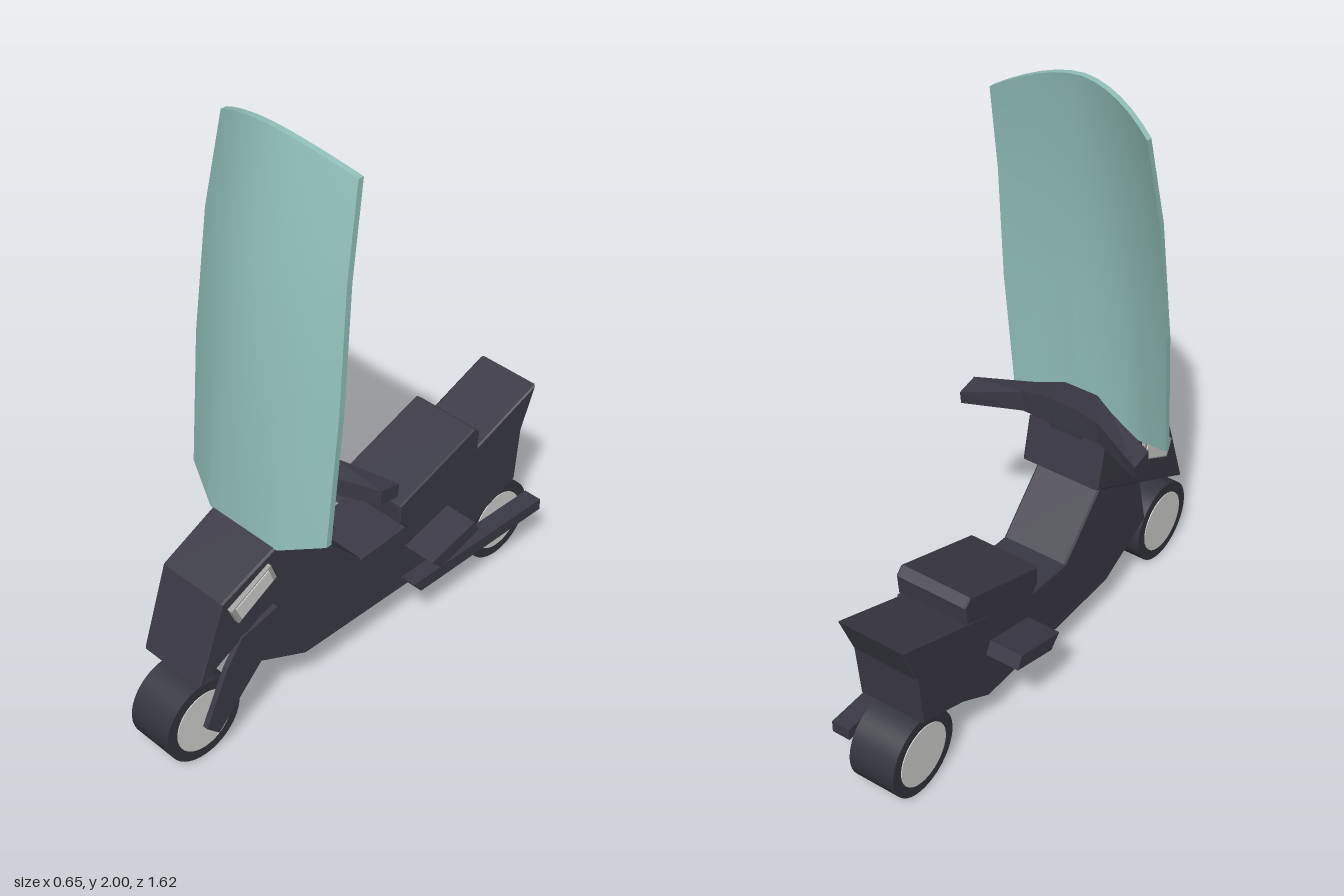
import * as THREE from 'three';

const paint = (name, color) => {
  const m = new THREE.MeshStandardMaterial({ color });
  m.name = name;
  return m;
};

// Side profile given as [z, y] points, extruded across x from x0 to x1
function slab(points, x0, x1, bevel = 0) {
  const shape = new THREE.Shape(points.map(([z, y]) => new THREE.Vector2(z, y)));
  const geo = new THREE.ExtrudeGeometry(shape, {
    depth: x1 - x0 - 2 * bevel, bevelEnabled: bevel > 0, bevelSize: bevel,
    bevelThickness: bevel, bevelOffset: -bevel, bevelSegments: 1,
  });
  return geo.rotateY(-Math.PI / 2).translate(x1 - bevel, 0, 0);
}

// Quads (a, b, c, d) with their own corners, so edges stay sharp
function quadGeometry(quads) {
  const pos = [];
  for (const [a, b, c, d] of quads) for (const p of [a, b, c, a, c, d]) pos.push(...p);
  const geo = new THREE.BufferGeometry();
  geo.setAttribute('position', new THREE.Float32BufferAttribute(pos, 3));
  geo.computeVertexNormals();
  return geo;
}

// Curved sheet: grid of points as an indexed, smooth surface
function sheet(grid, flip) {
  const cols = grid[0].length, index = [];
  for (let r = 0; r < grid.length - 1; r++) {
    for (let c = 0; c < cols - 1; c++) {
      const a = r * cols + c, b = a + 1, d = a + cols, e = d + 1;
      index.push(...(flip ? [a, e, b, a, d, e] : [a, b, e, a, e, d]));
    }
  }
  const geo = new THREE.BufferGeometry();
  geo.setAttribute('position', new THREE.Float32BufferAttribute(grid.flat(2), 3));
  geo.setIndex(index);
  geo.computeVertexNormals();
  return geo;
}

export function createModel() {
  const model = new THREE.Group();
  const bodyMat = paint('charcoal', 0x3b3a45);
  const tyreMat = paint('tyre black', 0x34353e);
  const rimMat = paint('light grey', 0xd2d2d0);
  const frameMat = paint('mid grey', 0xa0a09e);
  const glassMat = paint('teal glass', 0x92c0ba);

  const add = (name, geo, mat, parent = model) => {
    const mesh = new THREE.Mesh(geo, mat);
    mesh.name = name;
    parent.add(mesh);
    return mesh;
  };

  // Main body, footwell and tail
  add('body', slab([
    [0.5, 0.29], [0.27, 0.178], [-0.377, 0.178], [-0.5, 0.25], [-0.7, 0.325], [-0.72, 0.52],
    [-0.78, 0.67], [-0.17, 0.435], [0.03, 0.42], [0.22, 0.61], [0.3, 0.67], [0.45, 0.52],
  ], -0.118, 0.118, 0.006), bodyMat);

  // Front fairing, narrowing towards the nose
  const fairing = slab([[0.71, 0.335], [0.165, 0.64], [0.2, 0.795], [0.615, 0.61]].reverse(),
    -0.142, 0.142, 0.006);
  const fp = fairing.attributes.position;
  for (let i = 0; i < fp.count; i++) {
    const t = Math.max(0, (fp.getZ(i) - 0.4) / 0.31);
    fp.setX(i, fp.getX(i) * (1 - 0.13 * t));
  }
  fairing.computeVertexNormals();
  add('frontFairing', fairing, bodyMat);

  // Seat
  add('seat', slab([
    [-0.133, 0.537], [-0.472, 0.66], [-0.499, 0.635], [-0.493, 0.565], [-0.17, 0.43], [-0.133, 0.47],
  ], -0.128, 0.128, 0.005), bodyMat);

  // Foot rests crossing the body
  add('footRests', slab([[-0.17, 0.35], [-0.366, 0.403], [-0.387, 0.36], [-0.212, 0.308]],
    -0.235, 0.237), bodyMat);

  // Exhaust, one side only
  add('exhaust', slab([[-0.155, 0.228], [-0.773, 0.224], [-0.773, 0.182], [-0.19, 0.182]],
    0.11, 0.175), bodyMat);

  // Single-sided front fork
  add('frontFork', slab([
    [0.547, 0.44], [0.403, 0.472], [0.403, 0.37], [0.653, 0.122], [0.7, 0.17], [0.61, 0.355],
  ], 0.118, 0.137), bodyMat);

  // Wheels with light discs
  for (const [name, z] of [['frontWheel', 0.665], ['rearWheel', -0.663]]) {
    const wheel = new THREE.Group();
    wheel.name = name;
    wheel.position.set(0, 0.145, z);
    wheel.rotation.z = Math.PI / 2;
    add('tyre', new THREE.CylinderGeometry(0.145, 0.145, 0.166, 40), tyreMat, wheel);
    add('rim', new THREE.CylinderGeometry(0.108, 0.108, 0.172, 40), rimMat, wheel);
    model.add(wheel);
  }

  // Headlights: grey frame with a lighter lens on both flanks
  const lamp = [[0.594, 0.58], [0.435, 0.663], [0.414, 0.605], [0.568, 0.52]];
  const centre = [0.503, 0.592];
  const lens = lamp.map((p) => p.map((v, i) => centre[i] + (v - centre[i]) * 0.83));
  add('headlightFrame', slab(lamp, -0.148, 0.148), frameMat);
  add('headlightLens', slab(lens, -0.151, 0.151), rimMat);

  // Steering stem
  add('steeringStem', slab([[0.3, 0.73], [0.2, 0.76], [0.19, 0.85], [0.27, 0.85]], -0.06, 0.06), bodyMat);

  // Handlebar: four-cornered sections swept from tip to tip
  const half = [
    [0.325, [[0.085, 0.87], [0.16, 0.885], [0.16, 0.835], [0.09, 0.825]]],
    [0.14, [[0.162, 0.905], [0.24, 0.895], [0.24, 0.825], [0.165, 0.83]]],
    [0.06, [[0.162, 0.923], [0.28, 0.905], [0.287, 0.81], [0.165, 0.83]]],
  ];
  const sections = [...half.map(([x, s]) => [-x, s]), ...[...half].reverse()]
    .map(([x, s]) => s.map(([z, y]) => [x, y, z]));
  const barQuads = [];
  for (let i = 0; i < sections.length - 1; i++) {
    const a = sections[i], b = sections[i + 1];
    for (let k = 0; k < 4; k++) {
      const n = (k + 1) % 4;
      barQuads.push([a[k], a[n], b[n], b[k]]);
    }
  }
  barQuads.push([...sections[0]].reverse(), sections[sections.length - 1]);
  add('handlebar', quadGeometry(barQuads), bodyMat);

  // Tall curved windshield: rows of [centre y, side y, half width, centre z, side z]
  const rows = [
    [0.7, 0.76, 0.287, 0.408, 0.345],
    [1.21, 1.21, 0.296, 0.393, 0.302],
    [1.65, 1.62, 0.282, 0.345, 0.258],
    [2.0, 1.915, 0.265, 0.27, 0.2],
  ];
  const grid = (offset) => rows.map(([yc, ys, w, zc, zs], r) => {
    const line = [];
    for (let c = -6; c <= 6; c++) {
      const u = Math.abs(c) / 6;
      const bend = r === 0 ? Math.max(0, (u - 0.5) * 2) : u ** 1.8;
      line.push([w * c / 6, yc + (ys - yc) * bend, zc + (zs - zc) * bend + offset]);
    }
    return line;
  });
  const front = grid(0), back = grid(-0.02);
  const shield = new THREE.Group();
  shield.name = 'windshield';
  add('windshieldFront', sheet(front, false), glassMat, shield);
  add('windshieldBack', sheet(back, true), glassMat, shield);

  // Rim strip closing the windshield all round
  const border = (g) => [
    ...g[0], ...g.slice(1, -1).map((r) => r[12]),
    ...[...g[3]].reverse(), ...g.slice(1, -1).reverse().map((r) => r[0]),
  ];
  const fb = border(front), bb = border(back);
  add('windshieldEdge', quadGeometry(fb.map((p, i) => {
    const n = (i + 1) % fb.length;
    return [p, bb[i], bb[n], fb[n]];
  })), glassMat, shield);
  model.add(shield);

  return model;
}
